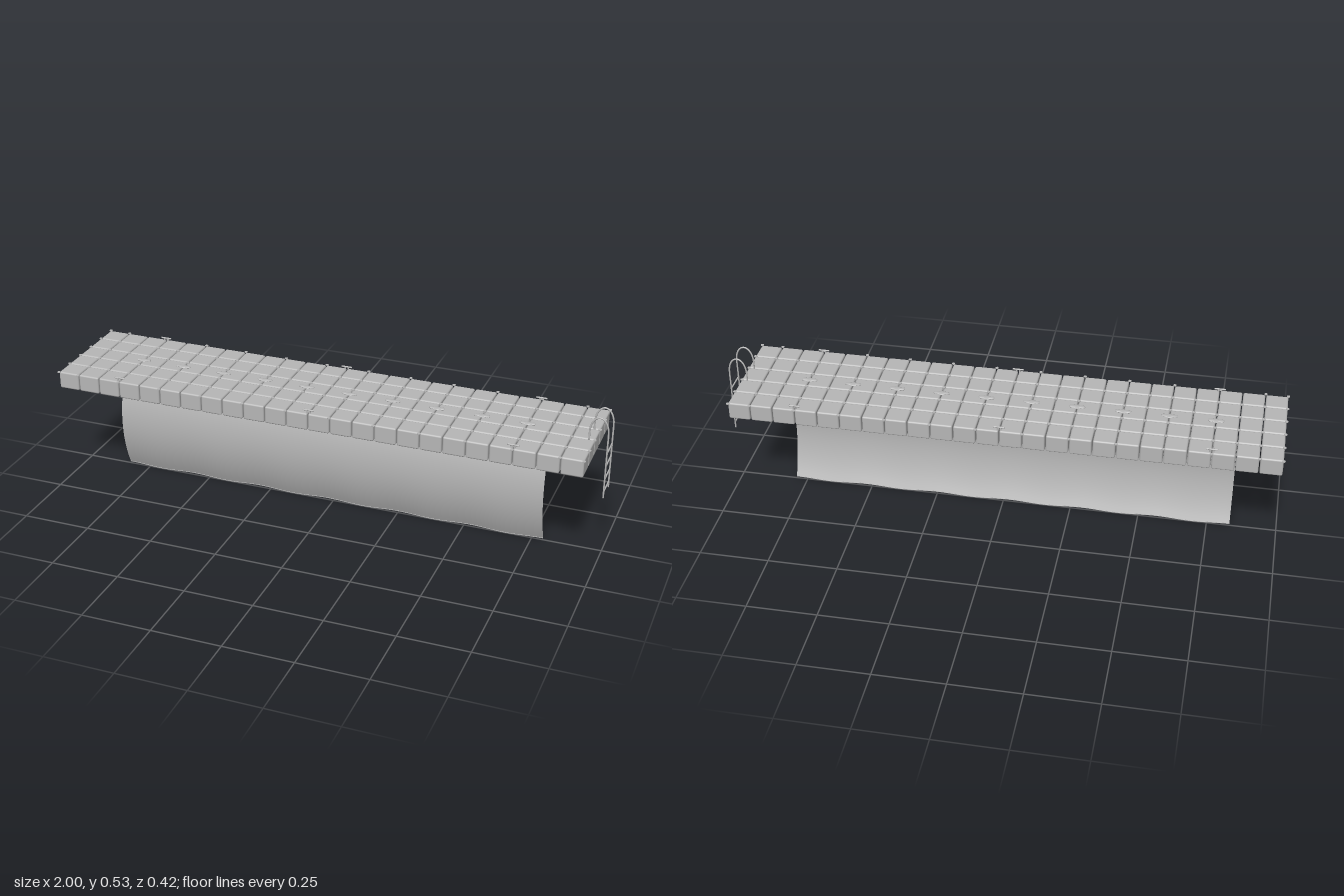
import * as THREE from 'three';
import { RoundedBoxGeometry } from 'three/addons/geometries/RoundedBoxGeometry.js';

export function createModel() {
  const model = new THREE.Group();
  model.name = 'floatingPontoon';
  const grey = new THREE.MeshStandardMaterial({ color: 0xb6b6b6 });
  grey.name = 'grey';
  const greySheet = new THREE.MeshStandardMaterial({ color: 0xb6b6b6, side: THREE.DoubleSide });
  greySheet.name = 'greySheet';

  function add(parent, name, geometry, x = 0, y = 0, z = 0, material = grey) {
    const mesh = new THREE.Mesh(geometry, material);
    mesh.name = name;
    mesh.position.set(x, y, z);
    parent.add(mesh);
    return mesh;
  }
  function group(name) {
    const g = new THREE.Group();
    g.name = name;
    model.add(g);
    return g;
  }

  const cols = 24, rows = 5, pitch = 0.0813;
  const left = -0.996, back = -rows * pitch / 2;
  const deckY = 0.447, bottomY = 0.383;

  // Deck of rounded float cubes
  const deck = group('deck');
  const cube = new RoundedBoxGeometry(pitch - 0.0035, deckY - bottomY, pitch - 0.0035, 2, 0.006);
  for (let i = 0; i < cols; i++) {
    for (let j = 0; j < rows; j++) {
      add(deck, 'floatCube', cube, left + (i + 0.5) * pitch, (deckY + bottomY) / 2, back + (j + 0.5) * pitch);
    }
  }

  // Coupling lugs: pins at the inner corners, plus small tabs around the rim
  const lugs = group('couplings');
  const pin = new THREE.CylinderGeometry(0.006, 0.006, 0.003, 10);
  for (let i = 1; i < cols; i++) {
    for (let j = 1; j < rows; j++) {
      add(lugs, 'couplingPin', pin, left + i * pitch, deckY - 0.0015, back + j * pitch);
    }
  }
  for (let i = 1; i < cols; i += 2) {
    for (const s of [-1, 1]) add(lugs, 'sideTab', pin, left + i * pitch, deckY - 0.001, s * 0.204);
  }
  for (let j = 0; j <= rows; j++) {
    add(lugs, 'endTab', pin, left + 0.002, deckY - 0.001, back + j * pitch);
    add(lugs, 'endTab', pin, left + cols * pitch - 0.002, deckY - 0.001, back + j * pitch);
  }

  // Mooring cleats along both long sides
  const cleats = group('cleats');
  const cleatPost = new THREE.CylinderGeometry(0.0025, 0.0035, 0.01, 10);
  const cleatBar = new THREE.CapsuleGeometry(0.003, 0.036, 4, 8).rotateZ(Math.PI / 2);
  for (const x of [-0.752, -0.02, 0.711]) {
    for (const z of [-0.191, 0.191]) {
      for (const dx of [-0.006, 0.006]) add(cleats, 'cleatPost', cleatPost, x + dx, deckY + 0.005, z);
      add(cleats, 'cleatBar', cleatBar, x, deckY + 0.01, z);
    }
  }

  // Low fittings down the centre line
  const fittings = group('centreFittings');
  const dome = new THREE.SphereGeometry(1, 16, 6, 0, Math.PI * 2, 0, Math.PI / 2).scale(0.017, 0.004, 0.013);
  const bar = new THREE.CapsuleGeometry(0.009, 0.04, 4, 10).rotateZ(Math.PI / 2).scale(1, 0.35, 1);
  for (let k = 0; k < 10; k++) {
    const x = left + (3 + 2 * k) * pitch;
    add(fittings, 'fittingDome', dome, x, deckY, 0);
    add(fittings, 'fittingBar', bar, x, deckY + 0.001, 0);
  }

  // Curtain: a sheet bowed toward the front, with a rippled lower hem
  const x0 = -0.833, x1 = 0.792, width = x1 - x0, topY = 0.39;
  const hemY = (u) => 0.005 + 0.003 * Math.cos(u * 12 * Math.PI);
  const sheet = new THREE.PlaneGeometry(1, 1, 72, 20);
  const p = sheet.attributes.position;
  for (let i = 0; i < p.count; i++) {
    const u = p.getX(i) + 0.5, v = p.getY(i) + 0.5;
    const y = THREE.MathUtils.lerp(hemY(u), topY, v);
    p.setXYZ(i, x0 + u * width, y, 0.045 * 4 * v * (1 - v));
  }
  sheet.computeVertexNormals();
  add(model, 'curtain', sheet, 0, 0, 0, greySheet);
  const hem = [];
  for (let i = 0; i <= 72; i++) hem.push(new THREE.Vector3(x0 + width * i / 72, hemY(i / 72), 0));
  add(model, 'curtainHem', new THREE.TubeGeometry(new THREE.CatmullRomCurve3(hem), 144, 0.0015, 6));

  // Boarding ladder at the end: hooped rails and four rungs
  const ladder = group('ladder');
  const railPath = [new THREE.Vector3(0.933, 0.444, 0)];
  for (let i = 0; i <= 12; i++) {
    const a = Math.PI * (1 - i / 12);
    railPath.push(new THREE.Vector3(0.965 + 0.032 * Math.cos(a), 0.475 + 0.056 * Math.sin(a), 0));
  }
  for (const y of [0.42, 0.33, 0.235]) railPath.push(new THREE.Vector3(0.997, y, 0));
  const rail = new THREE.TubeGeometry(new THREE.CatmullRomCurve3(railPath), 80, 0.003, 8);
  const railCap = new THREE.SphereGeometry(0.003, 8, 6);
  for (const z of [-0.041, 0.041]) {
    add(ladder, 'ladderRail', rail, 0, 0, z);
    add(ladder, 'railCap', railCap, 0.997, 0.235, z);
  }
  const rung = new THREE.CylinderGeometry(0.0028, 0.0028, 0.082, 8).rotateX(Math.PI / 2);
  for (const y of [0.257, 0.306, 0.355, 0.403]) add(ladder, 'ladderRung', rung, 0.997, y, 0);

  return model;
}
